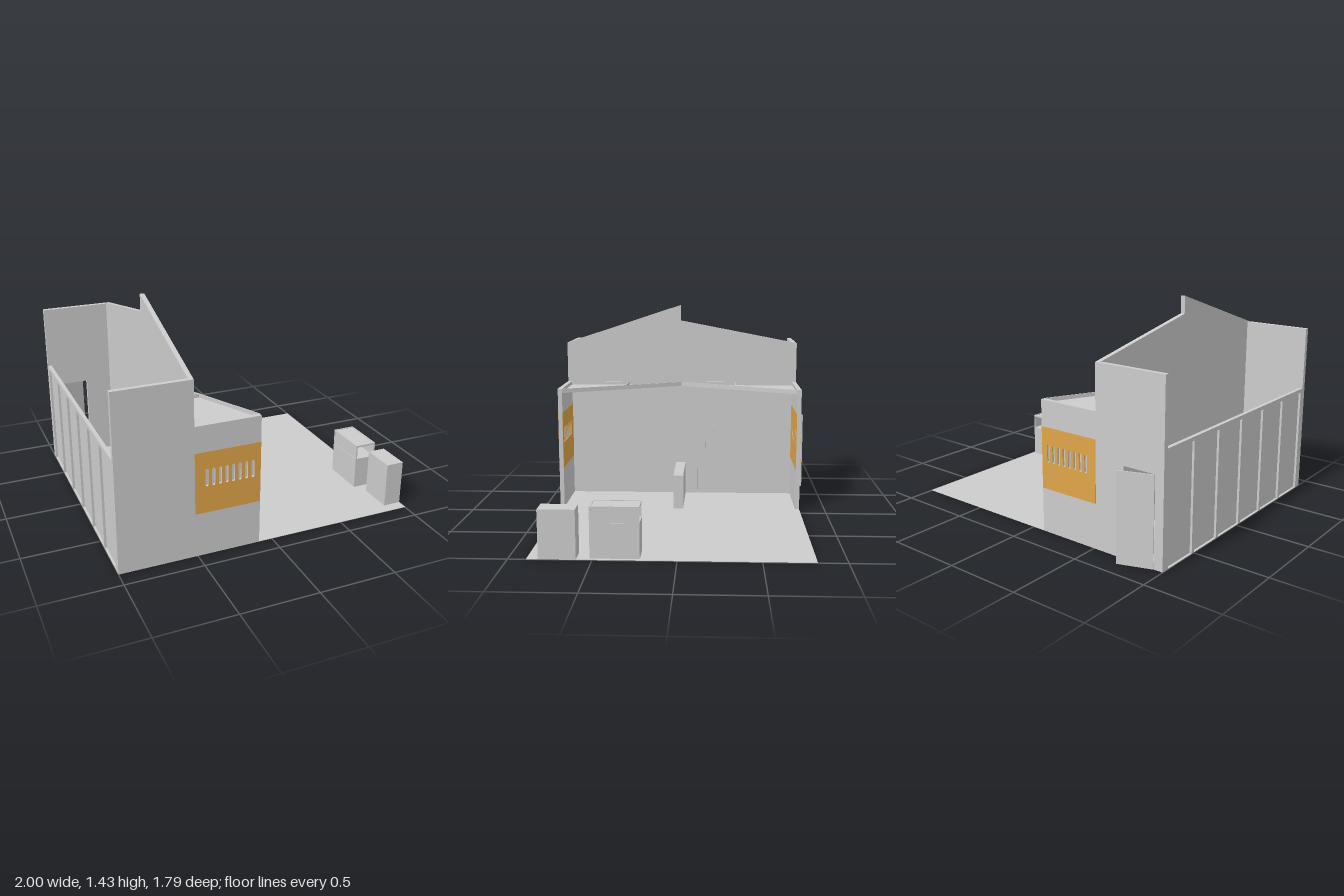
import * as THREE from 'three';

const grey = new THREE.MeshStandardMaterial({ color: 0xcccccc, flatShading: true });
const orange = new THREE.MeshStandardMaterial({ color: 0xe0a548, flatShading: true });

const FRONT = 0.89, BACK = -0.82, T = 0.03; // outer faces and wall thickness
const MID = 0.035; // z of the inner fold of the entrance

export function createModel() {
  const model = new THREE.Group();

  function add(name, geometry, material = grey) {
    const mesh = new THREE.Mesh(geometry, material);
    mesh.name = name;
    model.add(mesh);
    return mesh;
  }
  // Box given by its limits on each axis
  function box(name, x0, x1, y0, y1, z0, z1, material) {
    const g = new THREE.BoxGeometry(x1 - x0, y1 - y0, z1 - z0);
    g.translate((x0 + x1) / 2, (y0 + y1) / 2, (z0 + z1) / 2);
    return add(name, g, material);
  }
  const outline = (pts) => new THREE.Shape(pts.map(([x, y]) => new THREE.Vector2(x, y)));
  const extrude = (shape, depth) =>
    new THREE.ExtrudeGeometry(shape, { depth, bevelEnabled: false, curveSegments: 6 });

  // Rounded vertical slots of the ventilation window
  function cutSlots(shape) {
    const r = 0.01, y0 = 0.465, y1 = 0.58;
    for (let i = 0; i < 8; i++) {
      const x = -0.439 + i * 0.0425;
      const slot = new THREE.Path();
      slot.moveTo(x - r, y0 + r);
      slot.absarc(x, y0 + r, r, Math.PI, Math.PI * 2, false);
      slot.absarc(x, y1 - r, r, 0, Math.PI, false);
      slot.closePath();
      shape.holes.push(slot);
    }
    return shape;
  }

  box('floor', -1, 1, 0, 0.003, BACK, FRONT);

  // Stepped side walls with orange ventilation panels on both faces
  function sideWall(name, z0, hasDoor) {
    const pts = [[-1, 0]];
    if (hasDoor) pts.push([-0.94, 0], [-0.94, 0.575], [-0.72, 0.575], [-0.72, 0]);
    pts.push([-0.09, 0], [-0.09, 0.86], [-0.515, 0.86], [-0.515, 1.15], [-1, 1.15]);
    add(name, extrude(cutSlots(outline(pts)), T)).position.z = z0;
    for (const z of [z0 - 0.001, z0 + T - 0.001]) {
      const panel = cutSlots(outline([[-0.515, 0.29], [-0.09, 0.29], [-0.09, 0.69], [-0.515, 0.69]]));
      add(name + 'Panel', extrude(panel, 0.002), orange).position.z = z;
    }
    box(name + 'SlotBacking', -0.46, -0.12, 0.46, 0.585, z0 + 0.012, z0 + 0.018);
  }
  sideWall('frontWall', FRONT - T, false);
  sideWall('backWall', BACK, true);

  // Back door, standing ajar
  const doorGeometry = new THREE.BoxGeometry(0.222, 0.572, 0.008);
  doorGeometry.translate(0.111, 0.289, -0.004);
  const door = add('backDoor', doorGeometry);
  door.position.set(-0.938, 0, BACK);
  door.rotation.y = 0.34;

  // Main wall with the broken gable; shape x runs along -z
  const gable = extrude(outline([
    [-FRONT, 0], [-BACK, 0], [-BACK, 1.15], [-0.04, 1.315], [-0.04, 1.43], [-FRONT, 1.15],
  ]), T);
  gable.rotateY(Math.PI / 2);
  add('gableWall', gable).position.x = -0.545;

  // Panelled low wall with posts and rail
  const zIn0 = BACK + T, zIn1 = FRONT - T;
  box('sidePanel', -0.985, -0.975, 0, 0.71, zIn0, zIn1);
  box('sideTopRail', -1, -0.975, 0.705, 0.73, zIn0, zIn1);
  for (let i = 0; i <= 6; i++) {
    const z = zIn0 + 0.0125 + i * (zIn1 - zIn0 - 0.025) / 6;
    box('sidePost', -1, -0.975, 0, 0.71, z - 0.0125, z + 0.0125);
  }

  // Two triangular canopies with fascia, rim and divider, mirrored about the fold
  for (const [zEnd, zDivider, s] of [[zIn1, 0.43, 1], [zIn0, -0.365, -1]]) {
    const pts = [[-0.515, -MID], [-0.5, -MID], [-0.09, -zEnd], [-0.515, -zEnd]];
    const ceiling = extrude(outline(s > 0 ? pts.reverse() : pts), 0.005);
    ceiling.rotateX(-Math.PI / 2);
    add('canopyCeiling', ceiling).position.y = 0.83;

    const dx = 0.41, dz = zEnd - MID;
    const fascia = add('canopyFascia', new THREE.BoxGeometry(Math.hypot(dx, dz), 0.03, 0.006));
    fascia.position.set(-0.295, 0.845, (zEnd + MID) / 2);
    fascia.rotation.y = -Math.atan2(dz, dx);

    box('canopyDivider', -0.515, -0.305, 0.835, 0.86, zDivider - 0.003, zDivider + 0.003);
    box('canopyRim', -0.515, -0.51, 0.835, 0.86, Math.min(MID, zEnd), Math.max(MID, zEnd));

    // Narrow wall fins under the canopy
    for (let i = 0; i < 6; i++) {
      const fin = new THREE.PlaneGeometry(0.02, 0.827);
      if (s < 0) fin.rotateY(Math.PI);
      add('wallFin', fin).position.set(-0.505, 0.4165, MID + s * (0.06 + i * 0.06));
    }
  }

  // Counters on both sides of the main wall
  box('entranceCounter', -0.5, -0.07, 0, 0.245, 0.005, 0.075);
  box('innerCounter', -0.72, -0.545, 0, 0.25, -0.1, 0.47);

  // Display kiosk: base, corner posts, inset panels and lid
  const kx = [0.83, 0.98], kz = [0.22, 0.517], p = 0.01;
  box('kioskBase', kx[0], kx[1], 0, 0.22, kz[0], kz[1]);
  for (const x of [kx[0], kx[1] - p]) {
    for (const z of [kz[0], kz[1] - p]) box('kioskPost', x, x + p, 0.22, 0.31, z, z + p);
    box('kioskPanel', x + 0.003, x + 0.007, 0.22, 0.31, kz[0] + p, kz[1] - p);
    box('kioskLidRim', x, x + p, 0.308, 0.32, kz[0], kz[1]);
  }
  for (const z of [kz[0], kz[1] - p]) box('kioskLidRim', kx[0] + p, kx[1] - p, 0.308, 0.32, z, z + p);
  box('kioskLid', kx[0] + p, kx[1] - p, 0.308, 0.316, kz[0] + p, kz[1] - p);

  box('cabinet', 0.88, 1, 0, 0.305, 0.595, 0.82);

  return model;
}
